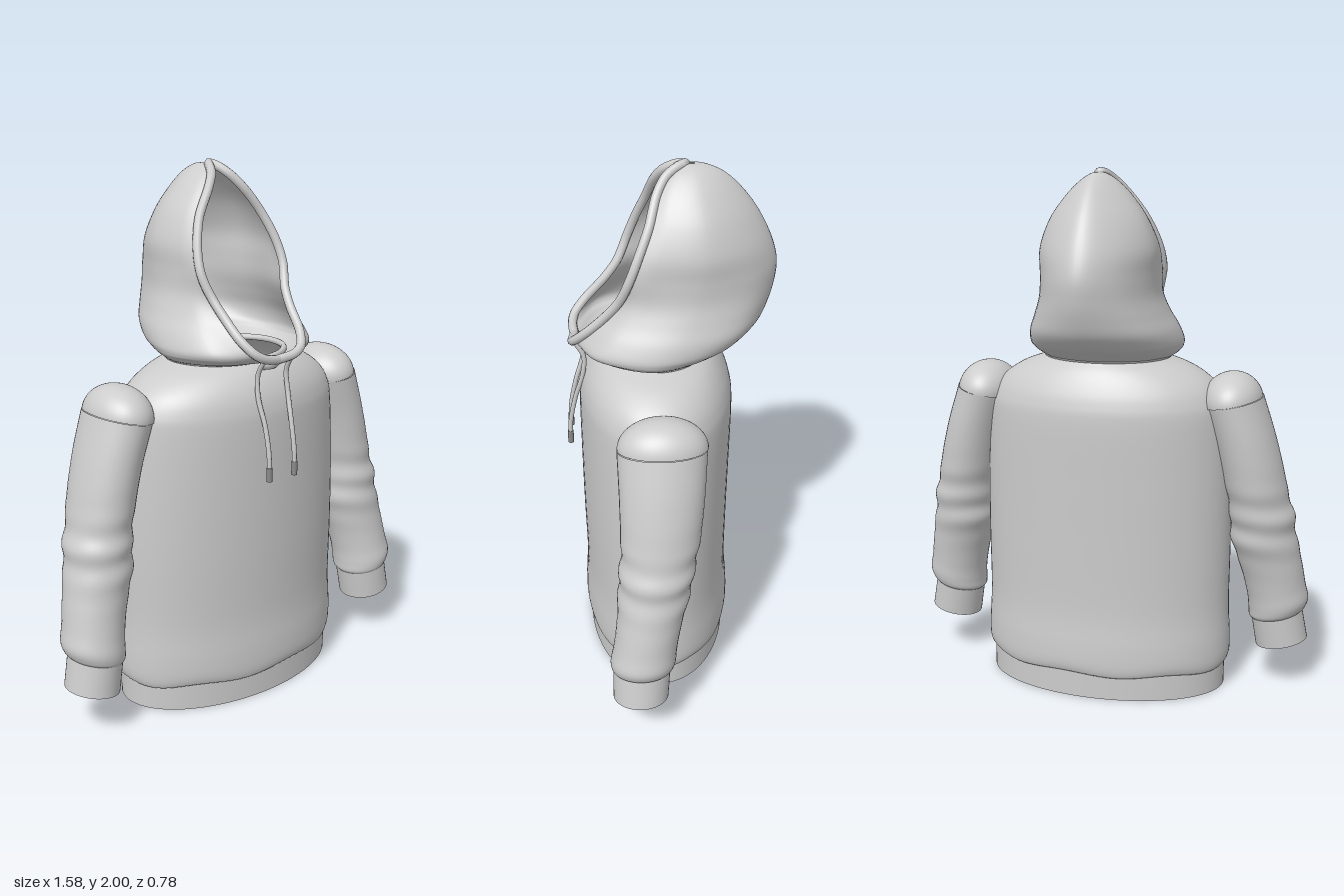
import * as THREE from 'three';
import { mergeVertices } from 'three/addons/utils/BufferGeometryUtils.js';

const cloth = new THREE.MeshStandardMaterial({ color: 0xcccccc, side: THREE.DoubleSide });
cloth.name = 'light grey cloth';
const metal = new THREE.MeshStandardMaterial({ color: 0x8a8a8a, side: THREE.DoubleSide });
metal.name = 'dark grey tip';

function add(parent, name, geometry, material = cloth) {
  const mesh = new THREE.Mesh(geometry, material);
  mesh.name = name;
  parent.add(mesh);
  return mesh;
}

// Smooth surface over a (u, v) grid; f returns [x, y, z]
function surface(nu, nv, f) {
  const pos = [], idx = [];
  for (let j = 0; j <= nv; j++) {
    for (let i = 0; i <= nu; i++) pos.push(...f(i / nu, j / nv));
  }
  for (let j = 0; j < nv; j++) {
    for (let i = 0; i < nu; i++) {
      const a = j * (nu + 1) + i, b = a + 1, c = a + nu + 1, d = c + 1;
      idx.push(a, b, d, a, d, c);
    }
  }
  let g = new THREE.BufferGeometry();
  g.setAttribute('position', new THREE.Float32BufferAttribute(pos, 3));
  g.setIndex(idx);
  g = mergeVertices(g, 1e-5);
  g.computeVertexNormals();
  return g;
}

// Smooth interpolation between table rows, t from 0 to 1
function blend(rows) {
  const n = rows.length, keys = rows.map((_, i) => i);
  const spline = new THREE.CubicInterpolant(keys, rows.flat(), rows[0].length);
  return t => Array.from(spline.evaluate(Math.min(t, 1) * (n - 1)));
}

const tube = (points, r, n = 64) => new THREE.TubeGeometry(
  new THREE.CatmullRomCurve3(points.map(p => new THREE.Vector3(...p))), n, r, 10);

// Torso rows: y, half width, front z, back z
const torsoRows = [
  [0.095, 0.474, 0.330, -0.220], [0.105, 0.487, 0.340, -0.230],
  [0.14, 0.495, 0.346, -0.236], [0.21, 0.495, 0.345, -0.234],
  [0.35, 0.488, 0.337, -0.224], [0.60, 0.489, 0.340, -0.226],
  [0.85, 0.484, 0.341, -0.231], [1.08, 0.470, 0.340, -0.235],
  [1.16, 0.452, 0.333, -0.225], [1.22, 0.410, 0.313, -0.202],
  [1.27, 0.335, 0.280, -0.172], [1.305, 0.24, 0.24, -0.14]];

function buildTorso(group) {
  const row = blend(torsoRows);
  add(group, 'torso', surface(80, 66, (u, v) => {
    const [y, rx, zf, zb] = row(v), a = u * Math.PI * 2;
    // gathered fabric above the hem
    const gather = Math.max(0, 1 - Math.abs(y - 0.11) / 0.1);
    return [rx * Math.sin(a), y + 0.007 * gather * Math.sin(7 * a),
      (zf + zb) / 2 + (zf - zb) / 2 * Math.cos(a)];
  }));
  add(group, 'hemBand', surface(80, 2, (u, v) => {
    const a = u * Math.PI * 2;
    return [0.475 * Math.sin(a), v * 0.115, 0.055 + 0.275 * Math.cos(a)];
  }));
  const ring = [];
  for (let i = 0; i <= 40; i++) {
    const a = i / 40 * Math.PI * 2;
    ring.push([0.235 * Math.sin(a), 1.312, 0.05 + 0.19 * Math.cos(a)]);
  }
  add(group, 'neckRing', tube(ring, 0.012, 80));
}

// Sleeve rows: y, centre x, centre z, radius x, radius z
const cuffRows = [[0.175, 0.69, 0.142, 0.102, 0.103], [0.30, 0.668, 0.136, 0.1, 0.106]];
const sleeveRows = [
  [0.29, 0.668, 0.136, 0.1, 0.106], [0.305, 0.670, 0.134, 0.112, 0.115],
  [0.34, 0.674, 0.131, 0.118, 0.120], [0.40, 0.665, 0.122, 0.115, 0.117],
  [0.50, 0.645, 0.106, 0.118, 0.119], [0.62, 0.615, 0.086, 0.124, 0.131],
  [0.70, 0.605, 0.077, 0.124, 0.134], [0.77, 0.593, 0.067, 0.114, 0.136],
  [0.85, 0.577, 0.060, 0.115, 0.143], [1.00, 0.540, 0.053, 0.113, 0.151],
  [1.15, 0.492, 0.050, 0.112, 0.158]];
const TILT = 0.2;

function sleevePart(rows, nv) {
  const row = blend(rows);
  return surface(40, nv, (u, v) => {
    const [y, cx, cz, rx, rz] = row(v), a = u * Math.PI * 2;
    // soft creases at the elbow
    const fold = Math.exp(-(((y - 0.68) / 0.13) ** 2));
    const k = 1 + 0.035 * fold * Math.sin(y * 55 + 2 * Math.sin(a));
    const s = rx * k * Math.sin(a);
    return [cx + s * Math.cos(TILT), y + s * Math.sin(TILT), cz + rz * k * Math.cos(a)];
  });
}

function buildSleeve(group, side) {
  const arm = new THREE.Group();
  arm.name = side > 0 ? 'leftSleeve' : 'rightSleeve';
  arm.scale.x = side;
  add(arm, 'sleeve', sleevePart(sleeveRows, 70));
  add(arm, 'cuff', sleevePart(cuffRows, 4));
  const cap = add(arm, 'shoulderCap',
    new THREE.SphereGeometry(1, 40, 16, 0, Math.PI * 2, 0, Math.PI / 2));
  cap.scale.set(0.114, 0.112, 0.159);
  cap.position.set(0.487, 1.15, 0.048);
  cap.rotation.z = TILT;
  group.add(arm);
}

// Hood rows: y, rim x, rim z, half width, back z, roundness of the back
const hoodRows = [
  [1.305, 0, 0.24, 0.24, -0.14, 0.71], [1.317, 0, 0.31, 0.262, -0.175, 0.71],
  [1.333, 0, 0.345, 0.28, -0.21, 0.71], [1.345, 0.06, 0.352, 0.287, -0.235, 0.71],
  [1.37, 0.108, 0.342, 0.290, -0.285, 0.70], [1.42, 0.14, 0.295, 0.275, -0.335, 0.69],
  [1.48, 0.153, 0.235, 0.245, -0.362, 0.66], [1.55, 0.17, 0.18, 0.218, -0.380, 0.62],
  [1.63, 0.19, 0.145, 0.211, -0.385, 0.58], [1.72, 0.180, 0.11, 0.210, -0.360, 0.56],
  [1.82, 0.14, 0.07, 0.175, -0.31, 0.53], [1.90, 0.085, 0.045, 0.122, -0.25, 0.53],
  [1.955, 0.04, 0.01, 0.07, -0.19, 0.55], [1.983, 0.014, -0.035, 0.028, -0.13, 0.6],
  [1.988, 0, -0.06, 0.004, -0.09, 0.6]];

function buildHood(group) {
  const row = blend(hoodRows), nv = 84, arcs = [], rim = [];
  for (let j = 0; j <= nv; j++) {
    const [y, x, zr, xs, zb, q] = row(j / nv), xr = Math.max(0, x), zs = (zr + zb) / 2;
    const half = [[xr, zr], [xr + 0.7 * (xs - xr), zr + 0.3 * (zs - zr)], [xs, zs],
      [xs * q, zs + 0.7 * (zb - zs)]];
    const full = [...half, [0, zb], ...half.map(([a, b]) => [-a, b]).reverse()];
    arcs.push(new THREE.CatmullRomCurve3(full.map(([a, b]) => new THREE.Vector3(a, y, b))));
    if (j >= 18 && j % 3 === 0) rim.push([xr, y, zr + 0.005]);
  }
  add(group, 'hood', surface(64, nv, (u, v) => arcs[Math.round(v * nv)].getPoint(u).toArray()));

  // Rolled edge around the face opening
  const mirrored = rim.slice(0, -1).map(([x, y, z]) => [-x, y, z]).reverse();
  add(group, 'hoodRim', tube([[0, 1.335, 0.35], ...rim, ...mirrored, [0, 1.335, 0.35]], 0.017, 160));
  add(group, 'frontSeam', tube([[0, 1.335, 0.345], [0, 1.312, 0.32], [0, 1.297, 0.27]], 0.017, 12));
}

function buildCord(group, side) {
  const name = side > 0 ? 'left' : 'right';
  const path = [[0.065, 1.34, 0.35], [0.067, 1.28, 0.318], [0.07, 1.2, 0.325],
    [0.062, 1.1, 0.355], [0.06, 1.0, 0.376], [0.06, 0.94, 0.38]];
  add(group, name + 'Cord', tube(path.map(([x, y, z]) => [x * side, y, z]), 0.009, 40));
  const tip = add(group, name + 'CordTip', new THREE.CylinderGeometry(0.011, 0.011, 0.052, 14), metal);
  tip.position.set(0.06 * side, 0.922, 0.38);
}

export function createModel() {
  const group = new THREE.Group();
  group.name = 'hoodedSweatshirt';
  buildTorso(group);
  buildHood(group);
  for (const side of [1, -1]) {
    buildSleeve(group, side);
    buildCord(group, side);
  }
  return group;
}
